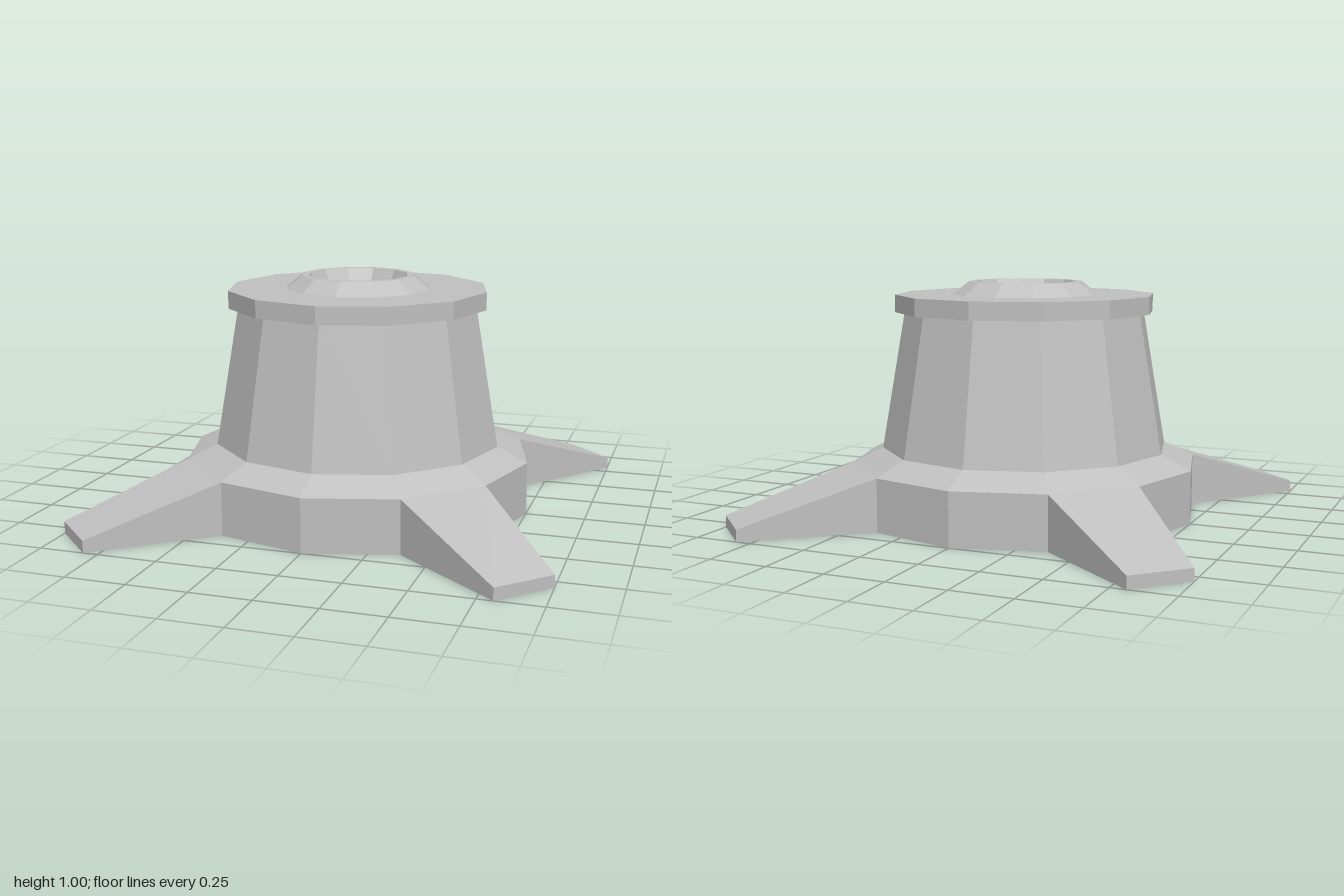
import * as THREE from 'three';

const SIDES = 12;
const BASE_R = 0.75, BASE_H = 0.225, TIP_H = 0.05;

export function createModel() {
  const grey = new THREE.MeshStandardMaterial({ color: 0xc0c0c0, flatShading: true, side: THREE.DoubleSide });
  grey.name = 'plain grey';

  const model = new THREE.Group();
  model.name = 'ventedPedestal';

  const add = (name, geometry) => {
    const mesh = new THREE.Mesh(geometry, grey);
    mesh.name = name;
    model.add(mesh);
    return mesh;
  };

  // Twelve-sided shell turned from [radius, height] pairs
  const turned = (name, profile) =>
    add(name, new THREE.LatheGeometry(profile.map(([r, y]) => new THREE.Vector2(r, y)), SIDES));

  // Surface made of four-cornered panels, corners counter-clockwise from outside
  const panels = (name, quads) => {
    const pos = quads.flatMap(([a, b, c, d]) => [a, b, c, a, c, d].flat());
    const g = new THREE.BufferGeometry();
    g.setAttribute('position', new THREE.Float32BufferAttribute(pos, 3));
    g.computeVertexNormals();
    return add(name, g);
  };

  turned('collar', [[BASE_R, BASE_H], [0.62, 0.285]]);
  turned('body', [[0.62, 0.285], [0.52, 0.87]]);
  turned('capFlange', [[0.52, 0.87], [0.56, 0.87], [0.56, 0.945], [0.315, 0.945]]);
  turned('nozzleRim', [[0.315, 0.945], [0.245, 1], [0.215, 1]]);
  turned('nozzleCone', [[0.215, 1], [0, 0.55]]);

  // Base wall, opening into a hollow leg on each diagonal
  const corner = (i, y) => {
    const a = (i * Math.PI * 2) / SIDES;
    return [BASE_R * Math.sin(a), y, BASE_R * Math.cos(a)];
  };
  const wall = [];
  for (let i = 0; i < SIDES; i++) {
    const p0 = corner(i, 0), q0 = corner(i + 1, 0);
    const p1 = corner(i, BASE_H), q1 = corner(i + 1, BASE_H);
    if (i % 3 !== 1) {
      wall.push([p0, q0, q1, p1]);
      continue;
    }
    // Tip corners lie either side of the diagonal
    const mid = ((i + 0.5) * Math.PI * 2) / SIDES;
    const dir = [Math.sin(mid), Math.cos(mid)];
    const tip = (side, y) => [
      dir[0] * 1.282 + dir[1] * 0.133 * side, y,
      dir[1] * 1.282 - dir[0] * 0.133 * side,
    ];
    const s0 = tip(-1, 0), t0 = tip(1, 0), s1 = tip(-1, TIP_H), t1 = tip(1, TIP_H);
    panels('leg', [
      [s1, t1, q1, p1], // sloping top
      [s0, t0, t1, s1], // blunt tip
      [p0, s0, s1, p1], // sides
      [t0, q0, q1, t1],
    ]);
  }
  panels('baseWall', wall);

  return model;
}
